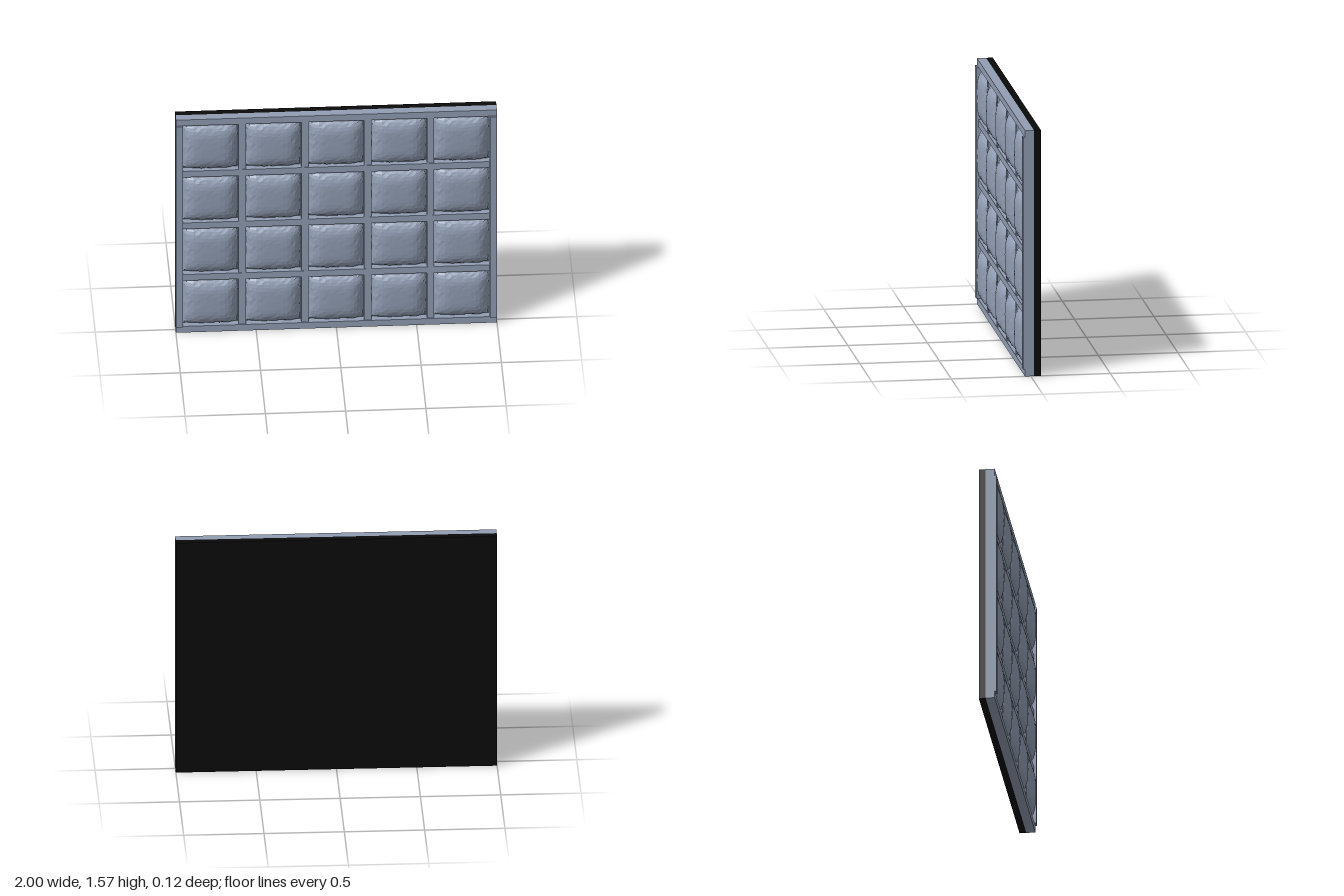
import * as THREE from 'three';

const WIDTH = 2, HEIGHT = 1.57, BAR = 0.045;
const COLS = 5, ROWS = 4;
const PITCH_X = (WIDTH - BAR) / COLS, PITCH_Y = (HEIGHT - BAR) / ROWS;
const BACK = -0.02;

// Repeatable pseudo-random value for a grid point, from -1 to 1
function hash(i, j, k) {
  const s = Math.sin(i * 12.9898 + j * 78.233 + k * 37.719) * 43758.5453;
  return (s - Math.floor(s)) * 2 - 1;
}

// Faceted pillow: a domed grid with steep sides and puckered edges
function pillowGeometry(w, h, n = 16) {
  const geo = new THREE.PlaneGeometry(w, h, n, n);
  const pos = geo.attributes.position;
  for (let j = 0; j <= n; j++) {
    for (let i = 0; i <= n; i++) {
      const inner = i > 0 && i < n && j > 0 && j < n;
      // Pack the rows of points closer together near the seams
      let u = Math.sin((i / n - 0.5) * Math.PI) * 0.6 + (i / n - 0.5) * 0.8;
      let v = -Math.sin((j / n - 0.5) * Math.PI) * 0.6 - (j / n - 0.5) * 0.8;
      if (inner) {
        u += hash(i, j, 1) * 0.022;
        v += hash(i, j, 2) * 0.022;
      }
      const dome = Math.pow(Math.max(0, (1 - u ** 4) * (1 - v ** 4)), 0.6);
      const edge = Math.max(Math.abs(u), Math.abs(v)) ** 6;
      const wrinkle = inner ? hash(i, j, 3) * (0.0005 + 0.006 * edge) : 0;
      pos.setXYZ(j * (n + 1) + i, u * w / 2, v * h / 2, -0.01 + 0.0715 * dome + wrinkle);
    }
  }
  const flat = geo.toNonIndexed();
  flat.computeVertexNormals();
  return flat;
}

export function createModel() {
  const grey = new THREE.MeshStandardMaterial({ color: 0x929eb4 });
  grey.name = 'blue grey';
  const black = new THREE.MeshStandardMaterial({ color: 0x0a0a0a });
  black.name = 'black';
  const model = new THREE.Group();
  model.name = 'paddedPanel';

  // Box given by its centre in x and y, and its back and front in z
  function bar(name, x, y, w, h, z0, z1, material = grey) {
    const mesh = new THREE.Mesh(new THREE.BoxGeometry(w, h, z1 - z0), material);
    mesh.position.set(x, y, (z0 + z1) / 2);
    mesh.name = name;
    model.add(mesh);
  }

  bar('backing', 0, HEIGHT / 2, WIDTH, HEIGHT, -0.0625, BACK, black);

  // Horizontal rails; the inner ones stop at the side posts
  for (let r = 0; r <= ROWS; r++) {
    const outer = r === 0 || r === ROWS;
    bar(outer ? 'outerRail' : 'innerRail', 0, BAR / 2 + r * PITCH_Y,
      outer ? WIDTH : WIDTH - 2 * BAR, BAR, BACK, outer ? 0.037 : 0.035);
  }

  // Side posts stand proud of the rails
  for (const s of [-1, 1]) {
    bar('sidePost', s * (WIDTH - BAR) / 2, HEIGHT / 2, BAR, HEIGHT - 2 * BAR, BACK, 0.048);
  }

  // Inner uprights
  for (let c = 1; c < COLS; c++) {
    bar('innerUpright', -WIDTH / 2 + BAR / 2 + c * PITCH_X, HEIGHT / 2,
      BAR, HEIGHT - 2 * BAR, BACK, 0.032);
  }

  // One pillow in each opening
  const pillow = pillowGeometry(PITCH_X - BAR, PITCH_Y - BAR);
  for (let r = 0; r < ROWS; r++) {
    for (let c = 0; c < COLS; c++) {
      const mesh = new THREE.Mesh(pillow, grey);
      mesh.position.set((c - (COLS - 1) / 2) * PITCH_X, BAR / 2 + (r + 0.5) * PITCH_Y, 0);
      mesh.name = 'pillow';
      model.add(mesh);
    }
  }
  return model;
}
